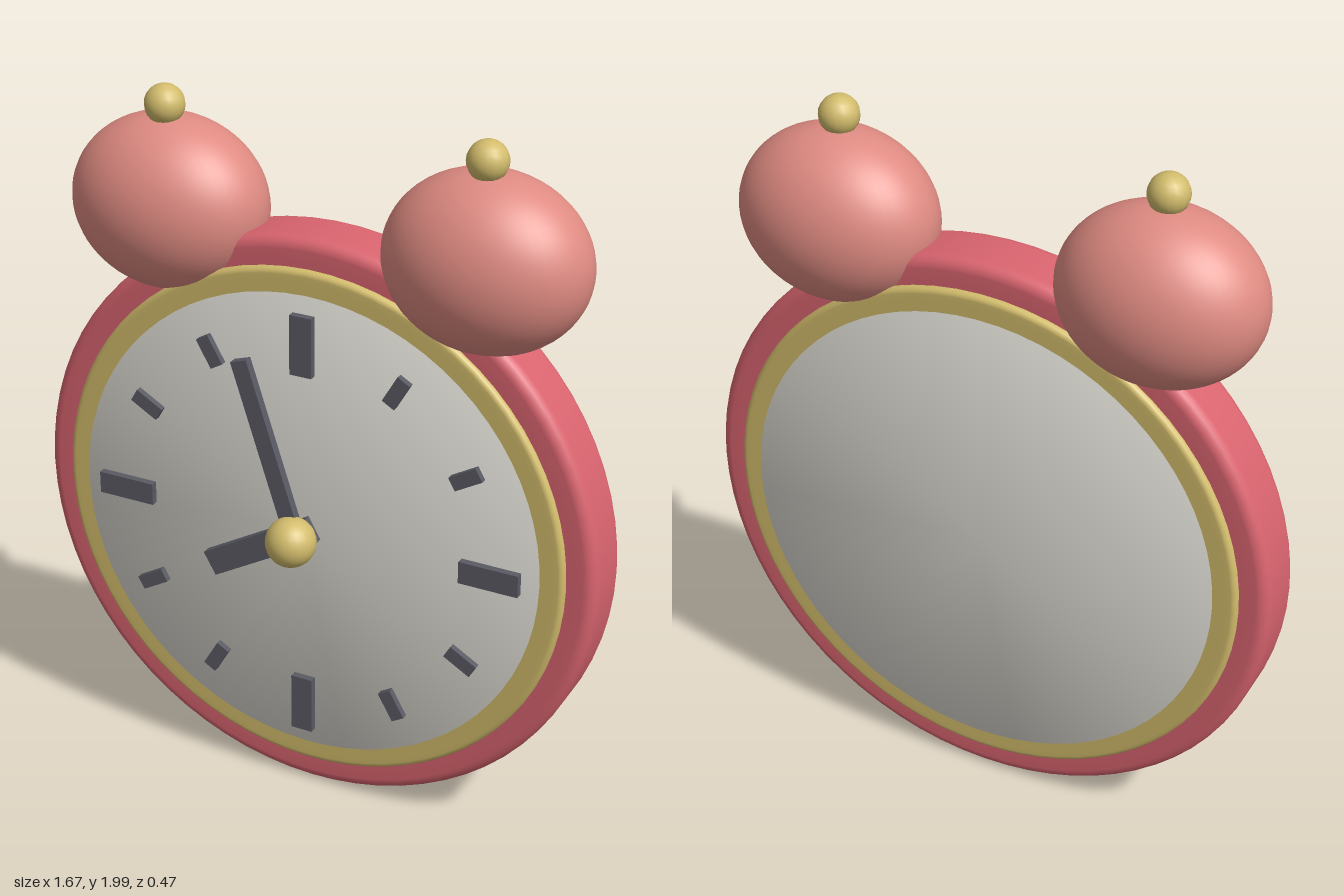
import * as THREE from 'three';

const mat = (name, color, extra) => {
  const m = new THREE.MeshStandardMaterial({ color });
  m.name = name;
  return m;
};

export function createModel() {
  const red = mat('caseRed', 0xd9646f);
  const pink = mat('bellPink', 0xdf8b82);
  const gold = mat('brassGold', 0xd2bc6c);
  const white = mat('dialWhite', 0xdcdad2);
  const dark = mat('handGrey', 0x5a5a64);

  const clock = new THREE.Group();
  clock.name = 'alarmClock';
  const CY = 0.842, CZ = -0.024;

  const add = (name, geo, material, x, y, z, parent = clock) => {
    const m = new THREE.Mesh(geo, material);
    m.name = name;
    m.position.set(x, y, z);
    parent.add(m);
    return m;
  };

  // Round drum facing z with rounded rims of radius b
  const drum = (r, half, b) => {
    const pts = [new THREE.Vector2(0, -half), new THREE.Vector2(r - 2 * b, -half)];
    const n = 5;
    for (let s = -1; s <= 1; s += 2) {
      for (let i = 0; i <= n; i++) {
        const a = (s < 0 ? -Math.PI / 2 : 0) + (i / n) * Math.PI / 2;
        pts.push(new THREE.Vector2(r - b + b * Math.cos(a), s * (half - b) + b * Math.sin(a)));
      }
    }
    pts.push(new THREE.Vector2(r - 2 * b, half), new THREE.Vector2(0, half));
    return new THREE.LatheGeometry(pts, 72).rotateX(Math.PI / 2);
  };

  // Case and brass rims
  add('case', drum(0.833, 0.09, 0.034), red, 0, CY, CZ);
  add('rim', drum(0.752, 0.108, 0.016), gold, 0, CY, CZ);

  // Dial and back plate share softly shaded edges
  const h = 0.116;
  const plate = [[0, -h], [0.685, -h], [0.685, h], [0, h]].map(p => new THREE.Vector2(...p));
  add('dialAndBack', new THREE.LatheGeometry(plate, 72).rotateX(Math.PI / 2), white, 0, CY, CZ);

  // Hour marks, larger at the quarters
  const marks = new THREE.Group();
  marks.name = 'hourMarks';
  marks.position.set(0, CY, 0.1);
  clock.add(marks);
  const big = new THREE.BoxGeometry(0.064, 0.17, 0.025);
  const small = new THREE.BoxGeometry(0.04, 0.088, 0.02);
  for (let i = 0; i < 12; i++) {
    const a = i * Math.PI / 6;
    const m = add('hourMark', i % 3 ? small : big, dark,
      Math.sin(a) * 0.551, Math.cos(a) * 0.551, 0, marks);
    m.rotation.z = -a;
  }

  // Hands, turned about the centre pin
  const hand = (name, length, tail, width, z, angle) => {
    const geo = new THREE.BoxGeometry(width, length + tail, 0.025)
      .translate(0, (length - tail) / 2, 0);
    add(name, geo, dark, 0, CY, z).rotation.z = angle;
  };
  hand('hourHand', 0.318, 0.045, 0.073, 0.12, Math.PI * 2 / 3);
  hand('minuteHand', 0.52, 0.045, 0.05, 0.145, Math.PI / 10);
  add('centrePin', new THREE.SphereGeometry(0.07, 24, 16), gold, 0, CY, 0.17);

  // Bells with brass knobs
  const bellGeo = new THREE.SphereGeometry(1, 48, 32).scale(0.281, 0.242, 0.21);
  const knobGeo = new THREE.SphereGeometry(0.055, 16, 12);
  for (const s of [-1, 1]) {
    const side = s > 0 ? 'left' : 'right';
    add(side + 'Bell', bellGeo, pink, s * 0.46, 1.672, -0.025);
    add(side + 'Knob', knobGeo, gold, s * 0.46, 1.945, -0.008);
  }
  return clock;
}
